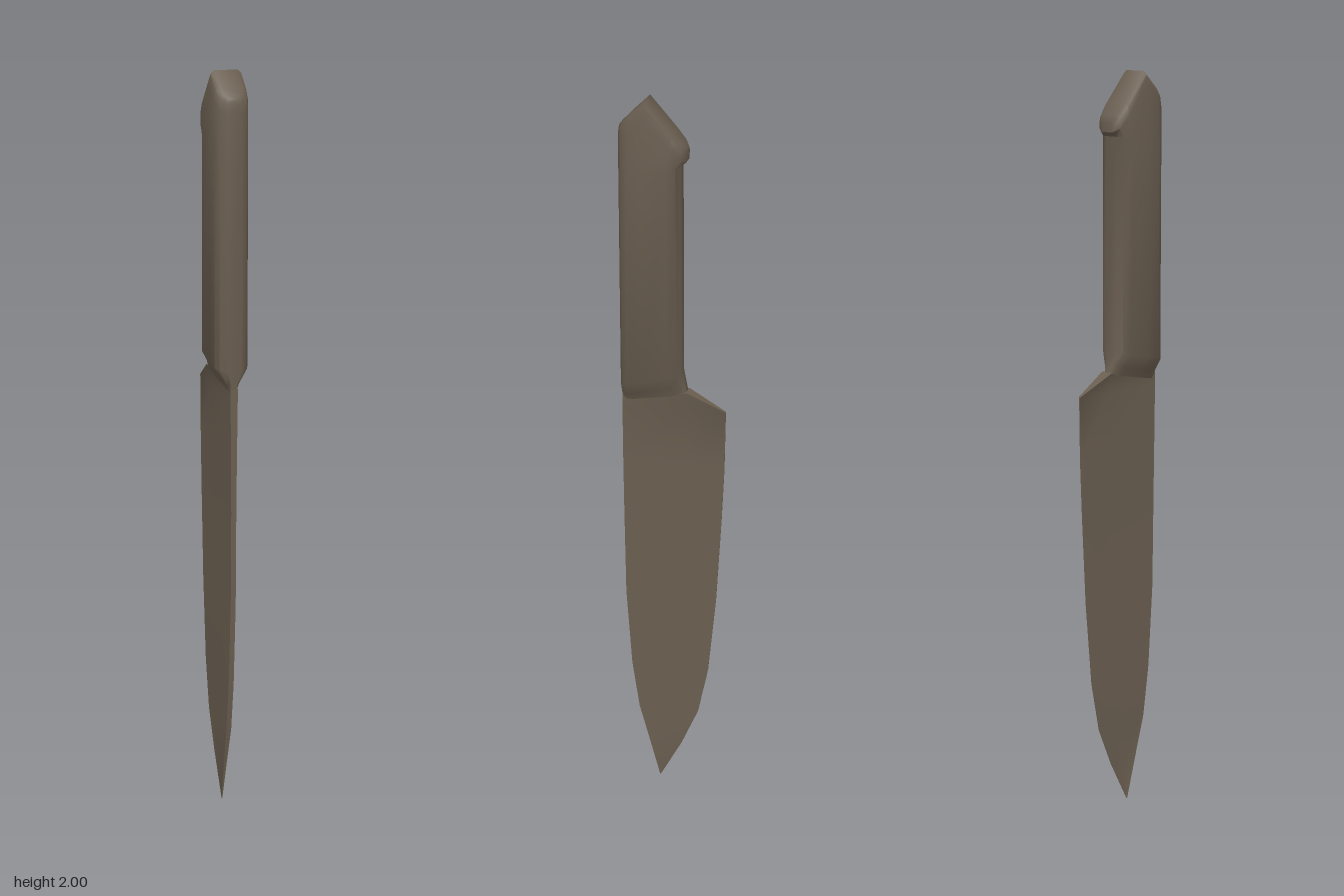
import * as THREE from 'three';
import { toCreasedNormals } from 'three/addons/utils/BufferGeometryUtils.js';

const material = new THREE.MeshStandardMaterial({ color: 0x6a5e50 });

// Skins rows of [x, y, z] points (the +x half, front to back), mirrored in x and capped.
function loft(rows, crease) {
  const n = rows[0].length, m = 2 * n, positions = [], index = [];
  for (const row of rows) {
    const mirrored = row.map(([x, y, z]) => [-x, y, z]).reverse();
    for (const p of [...row, ...mirrored]) positions.push(...p);
  }
  const quad = (a, b, c, d) => index.push(a, b, c, a, c, d);
  for (let i = 0; i < rows.length - 1; i++) {
    for (let j = 0; j < m; j++) {
      const k = (j + 1) % m;
      quad(i * m + j, i * m + k, (i + 1) * m + k, (i + 1) * m + j);
    }
  }
  const top = (rows.length - 1) * m;
  for (let j = 0; j < n - 1; j++) {
    const r = m - 1 - j;
    quad(top + j, top + j + 1, top + r - 1, top + r);
    quad(r, r - 1, j + 1, j);
  }
  const geometry = new THREE.BufferGeometry();
  geometry.setAttribute('position', new THREE.Float32BufferAttribute(positions, 3));
  geometry.setIndex(index);
  return toCreasedNormals(geometry, crease);
}

// Handle: a bevelled bar that grows out of the neck and ends in a peaked butt
function handleGeometry() {
  // fraction from front to back, fraction of the half width
  const profile = [[0, 0.42], [0.06, 0.82], [0.17, 1], [0.4, 1], [0.8, 1], [0.95, 0.82], [1, 0.42]];
  const row = (zFront, zBack, widthFront, widthBack, height) => profile.map(([t, w]) => {
    const z = THREE.MathUtils.lerp(zFront, zBack, t);
    return [w * THREE.MathUtils.lerp(widthFront, widthBack, t), height(t, z), z];
  });
  const slope = (front, back) => (t) => THREE.MathUtils.lerp(front, back, t);
  const butt = (drop) => (t, z) =>
    (z > 0.07 ? 2 - (z - 0.07) : 2 - (0.07 - z) * 1.14) - drop;
  return loft([
    row(0.138, -0.036, 0.01, 0.019, slope(1.18, 1.215)),
    row(0.139, -0.03, 0.02, 0.027, slope(1.2, 1.24)),
    row(0.14, -0.021, 0.045, 0.045, slope(1.235, 1.275)),
    row(0.14, -0.019, 0.045, 0.045, slope(1.8, 1.835)),
    row(0.14, -0.034, 0.045, 0.045, butt(0.035)),
    row(0.139, -0.035, 0.041, 0.041, butt(0.01)),
    row(0.137, -0.033, 0.031, 0.031, butt(0)),
  ], 0.75);
}

// Blade: wedge sections from the tip up to the heel
function bladeGeometry() {
  // y, z of the spine, z of the edge, half thickness at the spine
  const sections = [
    [0, 0.042, 0.04, 0.001], [0.12, 0.072, -0.022, 0.004], [0.23, 0.1, -0.068, 0.007],
    [0.37, 0.12, -0.096, 0.007], [0.6, 0.135, -0.117, 0.007], [0.85, 0.138, -0.13, 0.007],
    [1.0, 0.139, -0.136, 0.008], [1.165, 0.139, -0.138, 0.01],
  ];
  const rows = sections.map(([y, spine, edge, half]) => [0, 0.63, 1].map((t) =>
    [half * (1 - 0.85 * t), y, THREE.MathUtils.lerp(spine, edge, t)]));
  // Top of the heel, sloping down and narrowing from the neck to the edge
  rows.push([[0.01, 1.2, 0.138], [0.018, 1.22, -0.036], [0.003, 1.168, -0.138]]);
  return loft(rows, 0.5);
}

export function createModel() {
  const group = new THREE.Group();
  group.name = 'knife';
  for (const [name, geometry] of [['handle', handleGeometry()], ['blade', bladeGeometry()]]) {
    const mesh = new THREE.Mesh(geometry, material);
    mesh.name = name;
    group.add(mesh);
  }
  return group;
}
